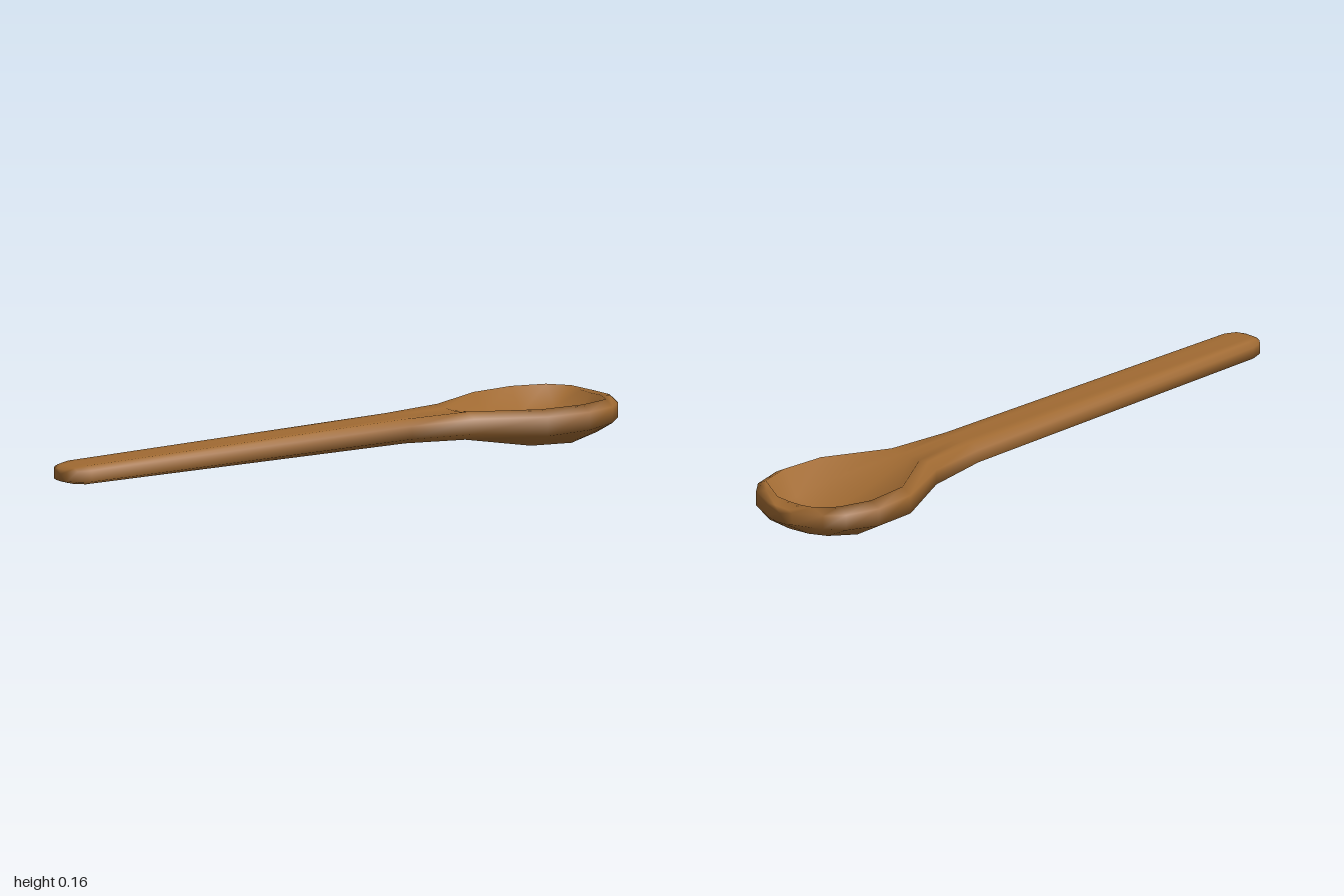
import * as THREE from 'three';

// Stations along the spoon: [position, half width, side offset, bottom, lower side, upper side, top, floor]
const STATIONS = [
  [-1.232, 0.04, 0.008, 0.09, 0.095, 0.13, 0.135, 0.135],
  [-1.206, 0.07, 0.008, 0.082, 0.093, 0.132, 0.142, 0.142],
  [-1.156, 0.086, 0.008, 0.075, 0.092, 0.133, 0.147, 0.147],
  [0.255, 0.096, 0.01, 0.065, 0.09, 0.137, 0.16, 0.16],
  [0.505, 0.132, 0.01, 0.052, 0.085, 0.14, 0.162, 0.152],
  [0.744, 0.245, 0.017, 0.01, 0.07, 0.14, 0.162, 0.08],
  [0.918, 0.259, 0.017, 0.0, 0.075, 0.14, 0.162, 0.047],
  [1.045, 0.222, 0.02, 0.026, 0.082, 0.14, 0.162, 0.06],
  [1.108, 0.168, 0.022, 0.045, 0.088, 0.14, 0.16, 0.15],
  [1.163, 0.062, 0.017, 0.085, 0.093, 0.138, 0.145, 0.145],
];

// Closed cross-section: rounded underside, upright sides, rim and hollow
function section([s, w, off, bottom, low, high, top, floor]) {
  const inBowl = s > 0.6 && s < 1.1;
  const rim = inBowl ? w - 0.04 : w * 0.7;
  const inner = inBowl ? rim * 0.72 : rim * 0.5;
  const half = [
    [w * 0.58, bottom + (low - bottom) * 0.16],
    [w, low],
    [w, high],
    [rim, top],
    [inner, floor + (top - floor) * 0.2],
  ];
  const ring = [
    [0, bottom], ...half, [0, floor],
    ...half.slice().reverse().map(([v, y]) => [-v, y]),
  ];
  return ring.map(([v, y]) => [s, y, v + off]);
}

// Skin the sections and close both ends with fans
function loft(rings) {
  const n = rings[0].length;
  const positions = rings.flat(2);
  const index = [];
  for (let j = 0; j < rings.length - 1; j++) {
    for (let i = 0; i < n; i++) {
      const a = j * n + i, b = j * n + (i + 1) % n;
      index.push(a, a + n, b + n, a, b + n, b);
    }
  }
  for (const j of [0, rings.length - 1]) {
    const centre = positions.length / 3;
    for (let k = 0; k < 3; k++) {
      positions.push(rings[j].reduce((sum, p) => sum + p[k], 0) / n);
    }
    for (let i = 0; i < n; i++) {
      const a = j * n + i, b = j * n + (i + 1) % n;
      index.push(centre, ...(j === 0 ? [a, b] : [b, a]));
    }
  }
  const geometry = new THREE.BufferGeometry();
  geometry.setAttribute('position', new THREE.Float32BufferAttribute(positions, 3));
  geometry.setIndex(index);
  geometry.computeVertexNormals();
  return geometry;
}

export function createModel() {
  const group = new THREE.Group();
  group.name = 'woodenSpoon';
  const wood = new THREE.MeshStandardMaterial({ color: 0xa06a32 });

  // Handle and bowl are one continuous carved piece, lying diagonally
  const spoon = new THREE.Mesh(loft(STATIONS.map(section)), wood);
  spoon.name = 'handleAndBowl';
  spoon.rotation.y = Math.atan2(0.6, 0.8);
  group.add(spoon);
  return group;
}
